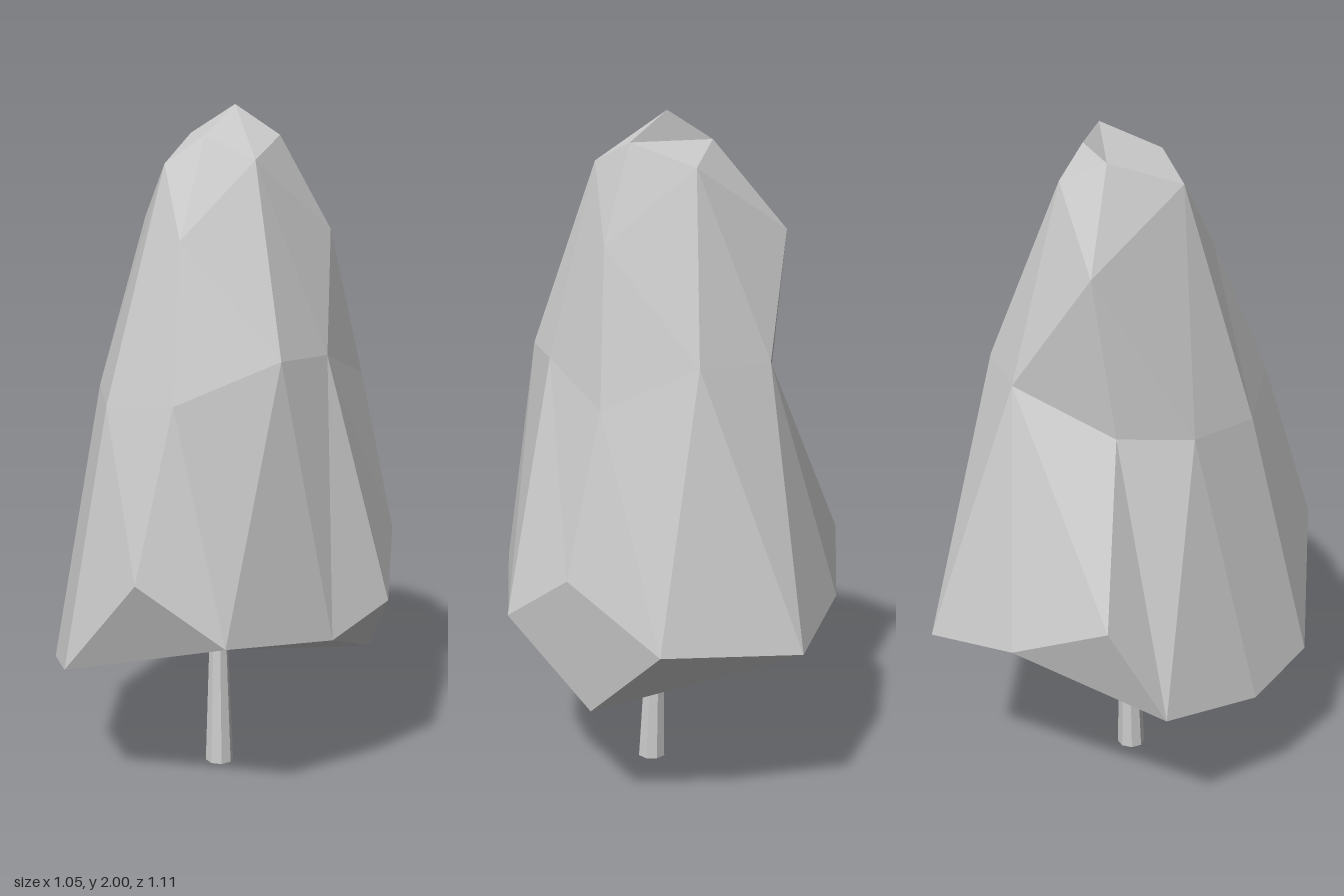
import * as THREE from 'three';

// Expands a ring's distinct corners into twelve columns; repeated corners make triangles.
const ring = (points, columns) => columns.map((i) => points[i]);

// Joins rings from bottom to top with triangles, skipping collapsed ones.
function loft(rings) {
  const positions = [];
  const tri = (a, b, c) => {
    if (a !== b && b !== c && a !== c) positions.push(...a, ...b, ...c);
  };
  for (let r = 0; r < rings.length - 1; r++) {
    const low = rings[r], high = rings[r + 1], n = low.length;
    for (let i = 0; i < n; i++) {
      const j = (i + 1) % n;
      tri(low[j], low[i], high[j]);
      tri(low[i], high[i], high[j]);
    }
  }
  const geometry = new THREE.BufferGeometry();
  geometry.setAttribute('position', new THREE.Float32BufferAttribute(positions, 3));
  geometry.computeVertexNormals();
  return geometry;
}

export function createModel() {
  const model = new THREE.Group();
  model.name = 'tree';
  const material = new THREE.MeshStandardMaterial({ color: 0xcccccc, flatShading: true });

  // Widest ring of the crown, from the back round the +x side to the front
  const skirt = [
    [0.25, 0.525, -0.555], [0.525, 0.565, -0.235], [0.5, 0.74, 0.055], [0.43, 0.585, 0.28],
    [0.24, 0.51, 0.38], [-0.1, 0.57, 0.555], [-0.34, 0.75, 0.51], [-0.52, 0.425, 0.265],
    [-0.53, 0.37, 0.01], [-0.47, 0.42, -0.325], [-0.37, 0.715, -0.46], [-0.085, 0.59, -0.55],
  ];
  // Underside: skirt corners plus one drooping tip, closing on a point by the trunk
  const droop = [0.45, 0.34, 0.01];
  const under = [skirt[0], droop, droop, droop, droop, skirt[5], skirt[7], skirt[7],
    skirt[8], skirt[9], skirt[9], skirt[11]];
  const underCentre = [-0.09, 0.42, -0.235];

  // Middle of the crown
  const middle = [
    [0.06, 1.31, -0.38], [0.28, 1.32, -0.25], [0.41, 1.21, -0.01], [0.25, 1.31, 0.22],
    [0.09, 1.32, 0.35], [-0.22, 1.22, 0.42], [-0.375, 1.17, 0.155], [-0.37, 1.18, -0.1],
    [-0.24, 1.2, -0.28],
  ];
  // Ring just below the peak, and the shoulders that zigzag beneath it
  const top = [
    [-0.085, 1.915, -0.145], [0.08, 1.845, -0.16], [0.15, 1.915, 0.012],
    [0.05, 1.855, 0.165], [-0.08, 1.92, 0.09], [-0.19, 1.84, 0.055],
  ];
  const shoulders = [
    [-0.2, 1.655, -0.335], top[1], [0.3, 1.645, 0.025], top[3], [-0.17, 1.64, 0.215], top[5],
  ];
  const topColumns = [0, 1, 2, 2, 3, 3, 4, 4, 5, 5, 0, 0];
  const peak = [0.03, 2, -0.05];

  const crown = new THREE.Mesh(loft([
    Array(12).fill(underCentre),
    under,
    skirt,
    ring(middle, [0, 1, 2, 3, 3, 4, 5, 6, 6, 7, 8, 0]),
    ring(shoulders, topColumns),
    ring(top, topColumns),
    ring(top, [0, 2, 2, 2, 3, 3, 4, 4, 5, 5, 0, 0]), // bridges the low back corner under the peak
    Array(12).fill(peak),
  ]), material);
  crown.name = 'crown';
  model.add(crown);

  // Slim tapered trunk, leaning slightly towards the back
  const height = 0.41;
  const trunkGeometry = new THREE.CylinderGeometry(0.028, 0.043, height, 8);
  trunkGeometry.translate(0, height / 2, 0);
  const p = trunkGeometry.attributes.position;
  for (let i = 0; i < p.count; i++) p.setZ(i, p.getZ(i) - 0.03 * p.getY(i));
  const trunk = new THREE.Mesh(trunkGeometry, material);
  trunk.name = 'trunk';
  trunk.position.set(-0.03, 0, 0.023);
  model.add(trunk);

  return model;
}
